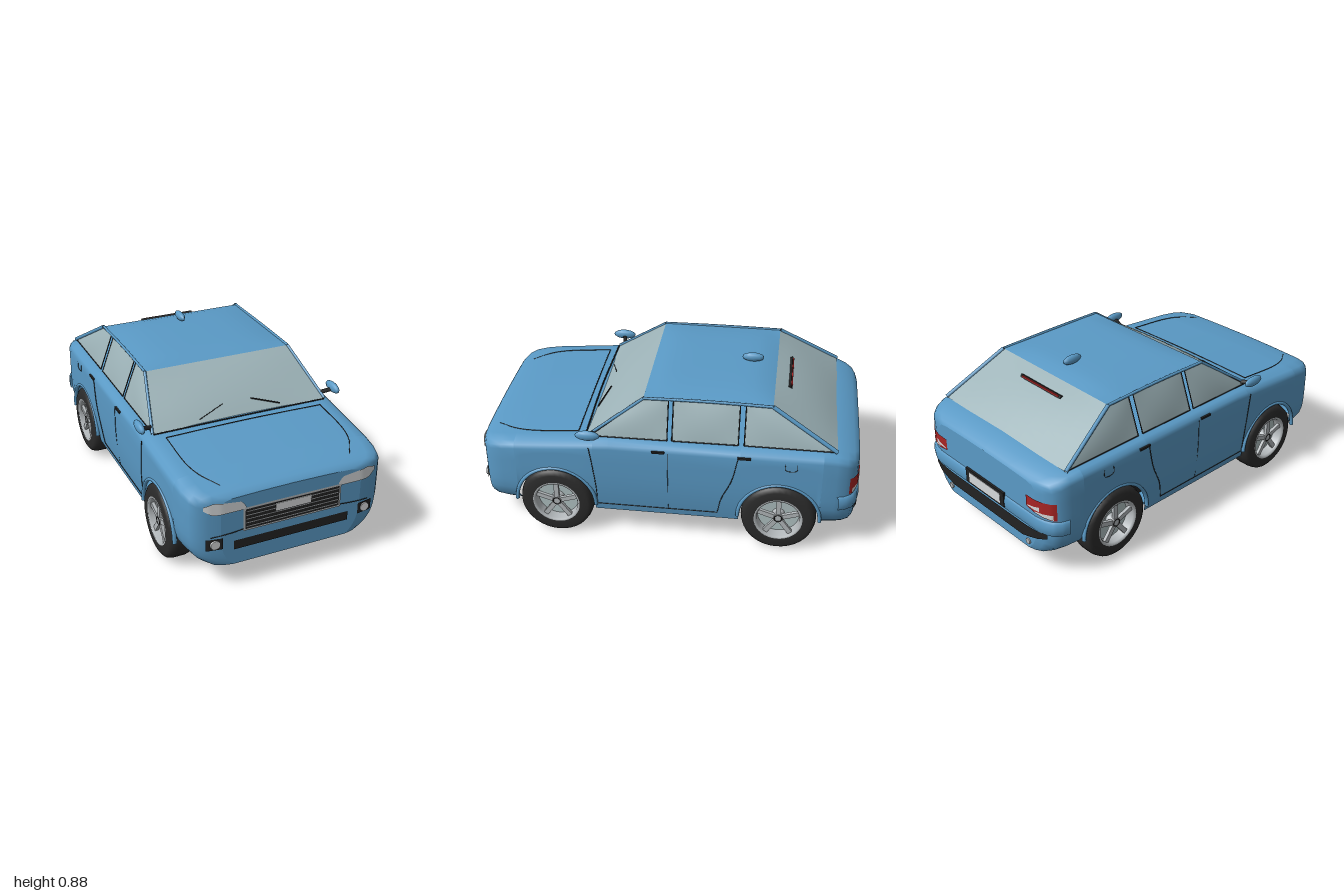
import * as THREE from 'three';

const mat = (name, color) => new THREE.MeshStandardMaterial({ name, color, side: THREE.DoubleSide });
const V = (x, y, z) => new THREE.Vector3(x, y, z);

// Body stations: z, half width, top height
const STATIONS = [
  [0.995, 0.38, 0.512], [0.985, 0.44, 0.524], [0.965, 0.49, 0.536], [0.93, 0.518, 0.546], [0.87, 0.533, 0.557],
  [0.78, 0.54, 0.568], [0.43, 0.545, 0.597], [0.3, 0.545, 0.607], [-0.8, 0.545, 0.61], [-0.87, 0.537, 0.603],
  [-0.92, 0.522, 0.587], [-0.955, 0.495, 0.572], [-0.975, 0.45, 0.558], [-0.985, 0.4, 0.543]];
const AXLES = [0.59, -0.59], WHEEL_Y = 0.197, ARCH = 0.208;

function lookup(rows, from, to, v) {
  if (v <= rows[0][from]) return rows[0][to];
  for (let i = 1; i < rows.length; i++) {
    const a = rows[i - 1], b = rows[i];
    if (v <= b[from]) return a[to] + (b[to] - a[to]) * (v - a[from]) / (b[from] - a[from] || 1);
  }
  return rows[rows.length - 1][to];
}
const byZ = [...STATIONS].reverse(), nose = STATIONS.slice(0, 7), tail = byZ.slice(0, 6);
const halfWidth = z => lookup(byZ, 0, 1, z), topY = z => lookup(byZ, 0, 2, z);
// Sides tuck in towards the bottom, most at the bumpers
function sideX(z, y) {
  const d = Math.max(0, (0.42 - y) / 0.28);
  return halfWidth(z) * (1 - (Math.abs(z) > 0.79 ? 0.17 * d ** 5 : 0.05 * d ** 2));
}
const faceZ = (x, dir) => lookup(dir > 0 ? nose : tail, 1, 0, Math.abs(x)) + dir * 0.005;

// Lower edge of the body, rising over the wheels
function bottomY(z) {
  for (const c of AXLES) {
    const d = Math.abs(z - c);
    if (d < ARCH) return WHEEL_Y + Math.sqrt(ARCH * ARCH - d * d);
  }
  return Math.abs(z) < 0.5 ? 0.158 : 0.135;
}
function section(z) {
  const yb = bottomY(z), yt = topY(z), w = halfWidth(z), half = [];
  for (let k = 0; k <= 8; k++) {
    const y = yb + (yt - 0.05 - yb) * (k / 8) ** 1.6;
    half.push([sideX(z, y), y]);
  }
  half.push([w * 0.985, yt - 0.03], [w * 0.95, yt - 0.012], [w * 0.85, yt - 0.003], [w * 0.45, yt + 0.002]);
  return [...half, [0, yt + 0.004], ...half.map(([x, y]) => [-x, y]).reverse()];
}

// Surface through rows of equal point count
function loft(rows) {
  const n = rows[0].length, index = [];
  for (let i = 0; i < rows.length - 1; i++)
    for (let j = 0; j < n - 1; j++) {
      const a = i * n + j, b = a + n;
      index.push(a, b, a + 1, b, b + 1, a + 1);
    }
  const g = new THREE.BufferGeometry();
  g.setAttribute('position', new THREE.Float32BufferAttribute(rows.flat(2), 3));
  g.setIndex(index);
  g.computeVertexNormals();
  return g;
}
// Bowed four-cornered pane
function pane(a, b, c, d, bow) {
  const rows = [], n = 8;
  for (let i = 0; i <= n; i++) {
    const row = [];
    for (let j = 0; j <= n; j++) {
      const u = j / n, v = i / n, p = a.clone().lerp(b, u).lerp(d.clone().lerp(c, u), v);
      p.addScaledVector(bow, 16 * u * (1 - u) * v * (1 - v));
      row.push(p.toArray());
    }
    rows.push(row);
  }
  return loft(rows);
}
// Thin panel hugging the nose or tail; rows are x, low y, high y
function facePanel(rows, dir, lift = 0) {
  const fine = [];
  for (let i = 0; i <= 16; i++) {
    const x = rows[0][0] + (rows[rows.length - 1][0] - rows[0][0]) * i / 16;
    const z = faceZ(x, dir) + dir * lift;
    fine.push([[x, lookup(rows, 0, 1, x), z], [x, lookup(rows, 0, 2, x), z]]);
  }
  return loft(fine);
}
const tube = (pts, r) => new THREE.TubeGeometry(new THREE.CatmullRomCurve3(pts, false, 'centripetal'), 16, r, 6);

export function createModel() {
  const car = new THREE.Group();
  car.name = 'car';
  const paint = mat('bluePaint', 0x5a9ac6), glass = mat('windowGlass', 0x9db3b8), black = mat('blackTrim', 0x222222);
  const silver = mat('silver', 0xb2b7ba), lamp = mat('lampWhite', 0xd6d9da), red = mat('lampRed', 0xa82424);
  const rubber = mat('tyreRubber', 0x2b2b2b), dish = mat('wheelDish', 0xafc0c1);
  const add = (name, geo, m, x = 0, y = 0, z = 0, parent = car) => {
    const mesh = new THREE.Mesh(geo, m);
    mesh.name = name;
    mesh.position.set(x, y, z);
    parent.add(mesh);
    return mesh;
  };
  const box = (w, h, d) => new THREE.BoxGeometry(w, h, d);

  // Body shell
  const zs = STATIONS.map(s => s[0]).filter(z => AXLES.every(c => Math.abs(z - c) > ARCH));
  for (const c of AXLES) {
    zs.push(c + ARCH + 0.001, c - ARCH - 0.001);
    for (let i = 0; i <= 20; i++) zs.push(c + ARCH * 0.9999 * Math.cos(Math.PI * i / 20));
  }
  zs.sort((a, b) => b - a);
  add('bodyShell', loft(zs.map(z => section(z).map(([x, y]) => [x, y, z]))), paint);
  for (const z of [0.995, -0.985])
    add(z > 0 ? 'nosePanel' : 'tailPanel',
      new THREE.ShapeGeometry(new THREE.Shape(section(z).map(p => new THREE.Vector2(...p)))), paint, 0, 0, z);

  // Underside, open behind the nose
  add('chassis', box(0.78, 0.15, 1.35), black, 0, 0.235, -0.285);
  add('floorPan', box(0.92, 0.012, 0.76), paint, 0, 0.142, 0);

  // Roof
  const roof = new THREE.PlaneGeometry(0.84, 0.66, 12, 12).rotateX(-Math.PI / 2);
  const rp = roof.attributes.position;
  for (let i = 0; i < rp.count; i++)
    rp.setY(i, 0.805 + 0.023 * (1 - (rp.getX(i) / 0.42) ** 4) * (1 - (rp.getZ(i) / 0.33) ** 6));
  roof.computeVertexNormals();
  add('roof', roof, paint, 0, 0, -0.2);
  const fin = add('roofAntenna', new THREE.SphereGeometry(1, 10, 8), paint, 0, 0.85, -0.4);
  fin.scale.set(0.02, 0.025, 0.06);

  // Windscreen and rear window
  add('windscreen', pane(V(-0.49, 0.597, 0.42), V(0.49, 0.597, 0.42), V(0.41, 0.805, 0.128), V(-0.41, 0.805, 0.128), V(0, 0.012, 0.012)), glass);
  add('rearWindow', pane(V(0.49, 0.605, -0.865), V(-0.49, 0.605, -0.865), V(-0.41, 0.805, -0.527), V(0.41, 0.805, -0.527), V(0, 0.012, -0.012)), glass);
  add('windscreenSeal', tube([V(-0.49, 0.597, 0.425), V(0, 0.604, 0.433), V(0.49, 0.597, 0.425)], 0.004), black);
  add('highBrakeLight', box(0.32, 0.018, 0.014), black, 0, 0.769, -0.608).rotation.x = 0.5;
  add('highBrakeLens', box(0.29, 0.008, 0.008), red, 0, 0.773, -0.614);
  for (const s of [1, -1])
    add('wiper', tube([V(s * 0.23, 0.618, 0.408), V(s * 0.08, 0.657, 0.363)], s > 0 ? 0.004 : 0.002), black);

  // Nose: grille, plate, lower intake
  add('grilleFrame', facePanel([[-0.265, 0.315, 0.445], [0.265, 0.315, 0.445]], 1), silver);
  add('grilleMesh', facePanel([[-0.255, 0.325, 0.436], [0.255, 0.325, 0.436]], 1, 0.002), black);
  for (let i = 0; i < 5; i++) add('grilleBar', box(0.5, 0.004, 0.006), silver, 0, 0.338 + i * 0.021, 1.0);
  add('frontPlate', box(0.19, 0.04, 0.008), lamp, 0, 0.408, 1.002);
  add('lowerIntake', facePanel([[-0.313, 0.223, 0.273], [0.313, 0.223, 0.273]], 1), black);

  // Tail: wrapped bumper, trim, plate
  const tailPath = [];
  for (const z of [-0.88, -0.9, -0.92, -0.94, -0.955, -0.965, -0.975, -0.985]) tailPath.push([halfWidth(z), z]);
  const wrap = [...tailPath, [0.2, -0.985], ...[...tailPath, [0.2, -0.985]].reverse().map(([x, z]) => [-x, z])];
  const swell = [[0, 0.36], [0.009, 0.352], [0.012, 0.32], [0.009, 0.285], [0, 0.275]];
  add('rearBumper', loft(wrap.map(([x, z]) => swell.map(([o, y]) => [x + Math.sign(x) * o, y, z - o]))), paint);
  add('bumperTrim', facePanel([[-0.47, 0.255, 0.285], [-0.3, 0.2, 0.275], [0.3, 0.2, 0.275], [0.47, 0.255, 0.285]], -1, 0.004), black);
  add('rearPlateFrame', box(0.32, 0.085, 0.012), black, 0, 0.335, -0.994);
  add('rearPlate', box(0.26, 0.058, 0.006), lamp, 0, 0.333, -0.999);

  const line = (name, pts, r = 0.0022) => add(name, tube(pts, r), black);
  for (const s of [1, -1]) {
    const strip = rows => rows.map(([x, a, b]) => [s * x, a, b]).sort((a, b) => a[0] - b[0]);

    // Lamps
    add('headlight', facePanel(strip([[0.25, 0.44, 0.45], [0.27, 0.437, 0.484], [0.42, 0.437, 0.504], [0.465, 0.468, 0.488]]), 1), lamp);
    add('fogLampHousing', facePanel(strip([[0.37, 0.243, 0.305], [0.455, 0.243, 0.305]]), 1), black);
    add('fogLamp', new THREE.CylinderGeometry(0.024, 0.024, 0.012, 20).rotateX(Math.PI / 2), lamp, s * 0.41, 0.273, 0.996);
    add('tailLight', facePanel(strip([[0.335, 0.395, 0.46], [0.51, 0.368, 0.465]]), -1), red);
    add('reversingLight', facePanel(strip([[0.345, 0.402, 0.407], [0.43, 0.402, 0.428]]), -1, 0.002), lamp);
    add('tailIndicator', facePanel(strip([[0.4, 0.389, 0.395], [0.5, 0.374, 0.402]]), -1, 0.002), lamp);
    add('exhaust', new THREE.CylinderGeometry(0.016, 0.016, 0.04, 16).rotateX(Math.PI / 2), silver, s * 0.33, 0.175, -0.972);

    // Side windows
    const gp = (z, y) => V(s * (0.494 - (y - 0.6) * 0.37), y, z);
    const quads = [[[0.4, 0.603], [0.0, 0.605], [0.0, 0.803], [0.13, 0.803]],
      [[-0.025, 0.605], [-0.365, 0.607], [-0.365, 0.803], [-0.025, 0.803]],
      [[-0.395, 0.607], [-0.85, 0.607], [-0.53, 0.802], [-0.395, 0.803]]];
    for (const q of quads) {
      const c = q.map(p => gp(...p));
      add('sideWindow', pane(...c, V(s * 0.008, 0, 0)), glass);
      for (let i = 0; i < 4; i++) add('windowSeal', tube([c[i], c[(i + 1) % 4]], 0.003), black);
    }

    // Pillars and roof rail
    add('frontPillar', tube([gp(0.42, 0.6), gp(0.13, 0.804)], 0.008), paint);
    add('rearPillar', tube([gp(-0.865, 0.607), gp(-0.53, 0.804)], 0.011), paint);
    add('roofRail', tube([gp(0.13, 0.804), gp(-0.2, 0.808), gp(-0.53, 0.804)], 0.008), paint);

    // Door mirror
    const mirror = add('doorMirror', new THREE.SphereGeometry(1, 12, 8), paint, s * 0.555, 0.643, 0.4);
    mirror.scale.set(0.02, 0.028, 0.065);
    add('mirrorArm', tube([V(s * 0.485, 0.618, 0.385), V(s * 0.55, 0.632, 0.4)], 0.013), black);

    // Panel gaps, handles and fuel lid
    const path = pts => pts.map(([z, y]) => V(s * (sideX(z, y) + 0.001), y, z));
    line('frontDoorGap', path([[0.4, 0.56], [0.385, 0.45], [0.37, 0.3], [0.37, 0.2]]));
    line('middleDoorGap', path([[-0.01, 0.56], [-0.01, 0.4], [-0.01, 0.2]]), 0.0013);
    line('rearDoorGap', path([[-0.37, 0.56], [-0.34, 0.42], [-0.29, 0.3], [-0.27, 0.2]]));
    line('sillLine', path([[0.37, 0.198], [0.05, 0.198], [-0.27, 0.198]]));
    for (const z of [0.04, -0.4]) add('doorHandle', box(0.01, 0.011, 0.068), black, s * 0.546, 0.564, z);
    line('fuelLid', path([[-0.61, 0.55], [-0.612, 0.512], [-0.668, 0.512], [-0.67, 0.55]]), 0.0015);
    const hood = (x, z) => V(s * x, topY(z) - 0.001, z);
    line('bonnetGap', [hood(0.44, 0.47), hood(0.435, 0.72), hood(0.41, 0.82), hood(0.35, 0.92)]);
    line('bumperGap', [[0.26, 0.325], [0.35, 0.318], [0.43, 0.312]].map(([x, y]) => V(s * x, y, faceZ(x, 1) - 0.003)));

    for (const z of AXLES) {
      // Wheel arch lip
      const lip = add('archLip', new THREE.TorusGeometry(ARCH + 0.006, 0.01, 8, 32, Math.PI).rotateY(Math.PI / 2), paint, s * 0.538, WHEEL_Y, z);
      lip.scale.x = 1.2;

      // Wheel
      const wheel = new THREE.Group();
      wheel.name = 'wheel';
      wheel.position.set(s * 0.48, WHEEL_Y, z);
      if (s < 0) wheel.rotation.y = Math.PI;
      car.add(wheel);
      const turn = pts => new THREE.LatheGeometry(pts.map(p => new THREE.Vector2(...p)), 36).rotateZ(-Math.PI / 2);
      add('tyre', turn([[0.115, -0.07], [0.17, -0.07], [0.19, -0.056], [0.197, -0.03], [0.197, 0.03], [0.19, 0.056], [0.17, 0.07], [0.125, 0.07]]), rubber, 0, 0, 0, wheel);
      add('rim', turn([[0.127, 0.07], [0.118, 0.071], [0.113, 0.06], [0.11, 0.015]]), silver, 0, 0, 0, wheel);
      add('wheelDish', turn([[0.11, 0.015], [0, 0.012]]), dish, 0, 0, 0, wheel);
      add('wheelBack', turn([[0.117, -0.07], [0.105, -0.02], [0, -0.02]]), dish, 0, 0, 0, wheel);
      add('hub', new THREE.CylinderGeometry(0.025, 0.034, 0.05, 20).rotateZ(-Math.PI / 2), silver, 0.035, 0, 0, wheel);
      add('hubRing', new THREE.TorusGeometry(0.02, 0.003, 6, 20).rotateY(Math.PI / 2), black, 0.06, 0, 0, wheel);
      for (let i = 0; i < 5; i++) {
        const a = i * Math.PI * 2 / 5;
        const spoke = add('spoke', box(0.018, 0.1, 0.026), silver, 0.048, 0.066 * Math.cos(a), 0.066 * Math.sin(a), wheel);
        spoke.rotation.x = a;
      }
    }
  }
  add('bonnetRearGap', tube([V(-0.44, topY(0.47) - 0.002, 0.47), V(0, topY(0.47) + 0.004, 0.47), V(0.44, topY(0.47) - 0.002, 0.47)], 0.003), black);
  return car;
}
